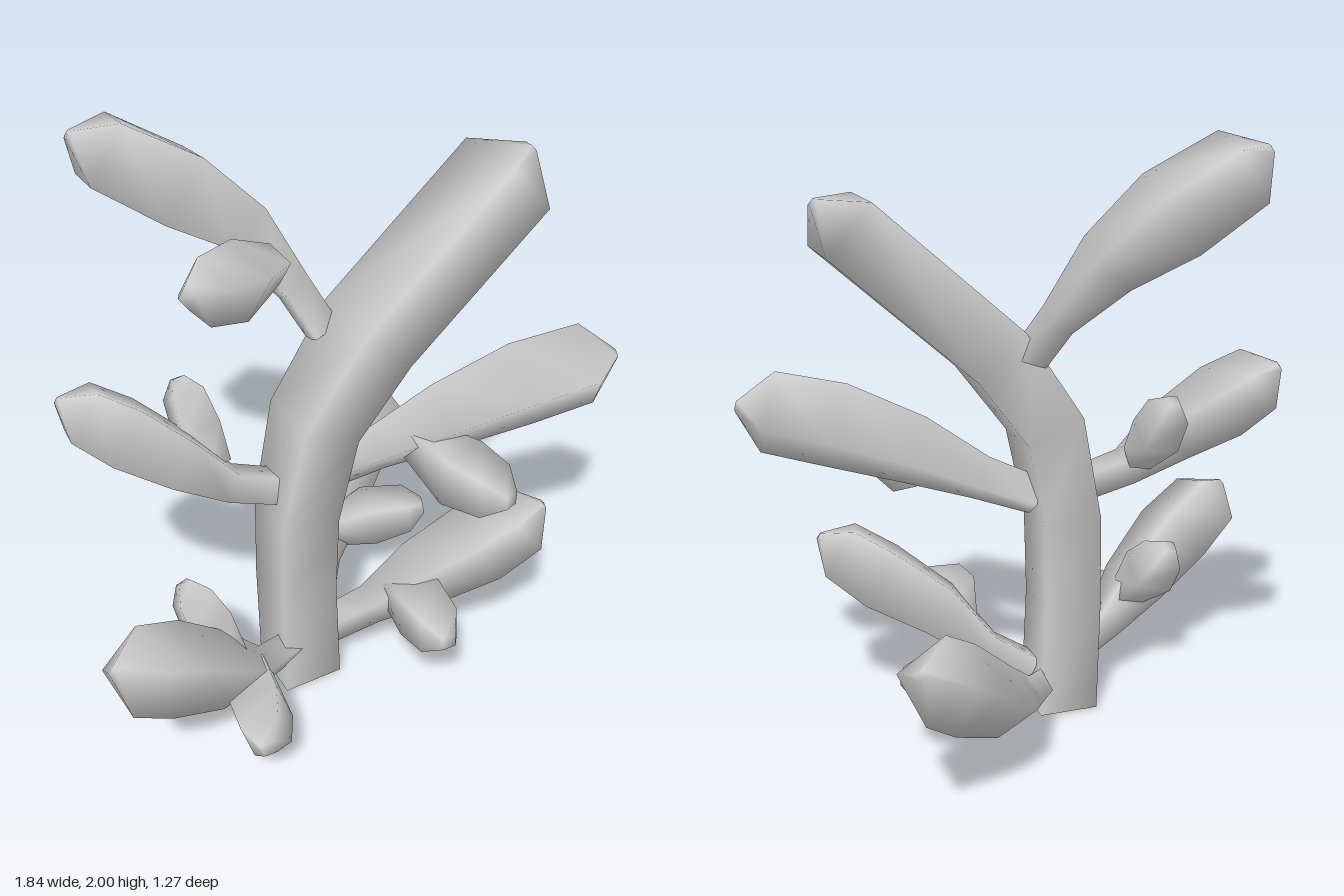
import * as THREE from 'three';

const material = new THREE.MeshStandardMaterial({ color: 0xcccccc });
const UP = new THREE.Vector3(0, 1, 0);

// Four-sided sweep along sections [x, y, z, halfWidth, halfDepth?], closed by a tapered tip.
function limb(name, sections, tipScale, roll = 0) {
  const pts = sections.map(s => new THREE.Vector3(s[0], s[1], s[2]));
  const size = sections.map(s => [s[3], s[4] ?? s[3]]);
  const last = pts.length - 1;

  // Small end ring that forms the pyramid tip
  const end = pts[last].clone().sub(pts[last - 1]).normalize();
  pts.push(pts[last].clone().addScaledVector(end, size[last][1]));
  size.push(size[last].map(h => h * tipScale));

  const verts = [], index = [];
  const corners = [[1, 1], [-1, 1], [-1, -1], [1, -1]];
  // Each ring is a level square, rolled, then tilted the shortest way onto the path direction
  const addRing = i => {
    const t = pts[Math.min(i + 1, last + 1)].clone().sub(pts[Math.max(i - 1, 0)]).normalize();
    const tilt = new THREE.Quaternion().setFromUnitVectors(UP, t);
    for (const [a, b] of corners) {
      const p = new THREE.Vector3(b * size[i][1], 0, a * size[i][0])
        .applyAxisAngle(UP, roll).applyQuaternion(tilt).add(pts[i]);
      verts.push(p.x, Math.max(p.y, 0), p.z);
    }
  };
  pts.forEach((_, i) => addRing(i));
  for (let i = 0; i <= last; i++) {
    for (let j = 0; j < 4; j++) {
      const a = i * 4 + j, b = i * 4 + (j + 1) % 4;
      index.push(a, b, b + 4, a, b + 4, a + 4);
    }
  }
  // Tip face, then a separate flat base so its edge stays sharp
  const k = (last + 1) * 4;
  index.push(k, k + 1, k + 2, k, k + 2, k + 3);
  addRing(0);
  const c = k + 4;
  index.push(c, c + 2, c + 1, c, c + 3, c + 2);

  const geo = new THREE.BufferGeometry();
  geo.setAttribute('position', new THREE.Float32BufferAttribute(verts, 3));
  geo.setIndex(index);
  geo.computeVertexNormals();
  const mesh = new THREE.Mesh(geo, material);
  mesh.name = name;
  return mesh;
}

export function createModel() {
  const model = new THREE.Group();
  model.name = 'branchingPlant';

  // Trunk, leaning over to the left
  model.add(limb('trunk', [
    [-0.125, 0, 0.14, 0.1, 0.104], [-0.14, 0.4, 0.14, 0.1], [-0.135, 0.7, 0.14, 0.102],
    [-0.07, 1.03, 0.14, 0.115, 0.104], [0.12, 1.3, 0.137, 0.13, 0.11], [0.6, 1.73, 0.137, 0.13, 0.108],
  ], 0.12));

  // Club-shaped branches, thin at the trunk and swelling outward
  const branches = {
    upperBackBranch: [[0.01, 1.29, 0.05, 0.045], [-0.05, 1.42, -0.03, 0.046], [-0.17, 1.61, -0.14, 0.08],
      [-0.35, 1.76, -0.21, 0.112], [-0.56, 1.9, -0.265, 0.1]],
    middleLeftBranch: [[-0.03, 0.79, 0.11, 0.05], [0.15, 0.86, 0.16, 0.058], [0.36, 0.96, 0.23, 0.09],
      [0.6, 1.05, 0.3, 0.11], [0.81, 1.1, 0.36, 0.105]],
    middleRightBranch: [[-0.17, 0.8, 0.13, 0.045], [-0.35, 0.86, 0.1, 0.048], [-0.5, 0.98, 0.06, 0.078],
      [-0.65, 1.09, -0.01, 0.095], [-0.76, 1.17, -0.06, 0.083]],
    lowerLeftBranch: [[-0.03, 0.14, 0.15, 0.045], [0.12, 0.22, 0.2, 0.05], [0.27, 0.36, 0.28, 0.085],
      [0.45, 0.48, 0.35, 0.102], [0.58, 0.575, 0.4, 0.09]],
    lowerRightBranch: [[-0.18, 0.15, 0.18, 0.042], [-0.35, 0.2, 0.27, 0.05], [-0.5, 0.32, 0.34, 0.087],
      [-0.69, 0.47, 0.4, 0.105], [-0.84, 0.57, 0.445, 0.095]],
    lowerBackBranch: [[0, 0.13, 0.03, 0.042], [0.1, 0.18, -0.12, 0.048], [0.22, 0.25, -0.27, 0.08],
      [0.4, 0.4, -0.43, 0.1], [0.525, 0.505, -0.54, 0.095]],
  };

  // Short side shoots growing from the branches
  const shoots = {
    upperBackShoot: [[-0.13, 1.54, 0, 0.045], [-0.28, 1.56, 0.07, 0.088], [-0.42, 1.59, 0.13, 0.072]],
    middleLeftShoot: [[0.26, 0.9, 0.22, 0.05], [0.32, 0.86, 0.4, 0.085], [0.36, 0.86, 0.53, 0.068]],
    middleRightShoot: [[-0.37, 0.9, 0.05, 0.04], [-0.4, 1.0, -0.03, 0.064], [-0.41, 1.1, -0.1, 0.054]],
    lowerLeftShoot: [[0.2, 0.28, 0.24, 0.05], [0.19, 0.34, 0.4, 0.08], [0.185, 0.345, 0.53, 0.067]],
    lowerRightFrontShoot: [[-0.37, 0.22, 0.28, 0.045], [-0.43, 0.21, 0.45, 0.08], [-0.47, 0.22, 0.565, 0.063]],
    lowerRightBackShoot: [[-0.44, 0.29, 0.3, 0.04], [-0.5, 0.41, 0.21, 0.074], [-0.525, 0.49, 0.15, 0.058]],
    lowerBackShoot: [[0.17, 0.25, -0.19, 0.045], [0.32, 0.28, -0.16, 0.077], [0.45, 0.3, -0.11, 0.062]],
  };

  // Twist of a limb about its own length, in radians
  const rolls = { middleLeftBranch: 0.35, lowerLeftBranch: -0.15, middleLeftShoot: 0.3, lowerBackShoot: -0.3 };

  for (const [name, sections] of Object.entries(branches)) model.add(limb(name, sections, 0.12, rolls[name]));
  for (const [name, sections] of Object.entries(shoots)) model.add(limb(name, sections, 0.35, rolls[name]));
  return model;
}
